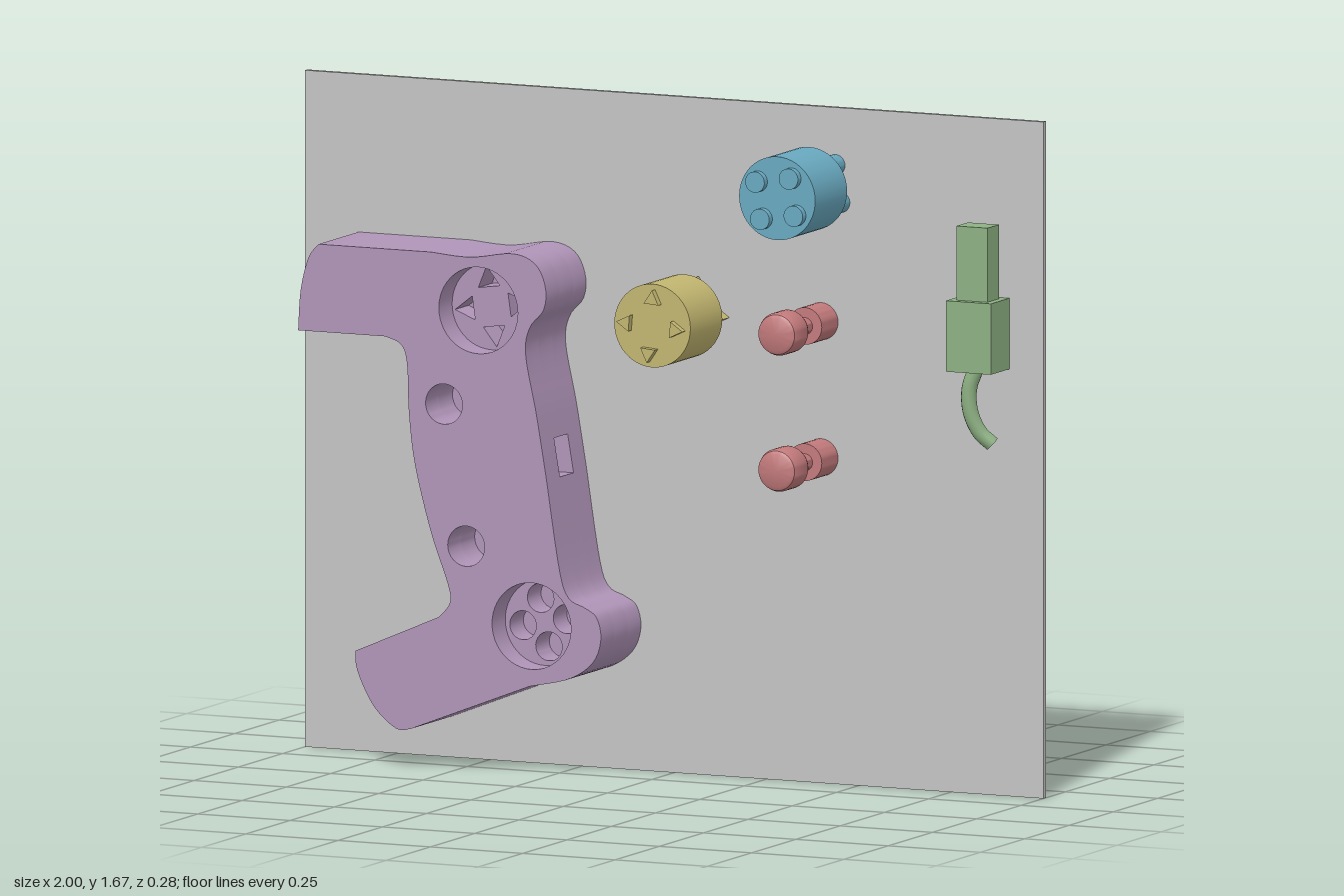
import * as THREE from 'three';
import { toCreasedNormals } from 'three/addons/utils/BufferGeometryUtils.js';

const mat = (name, color) => new THREE.MeshStandardMaterial({ name, color });

// Regular polygon ring: triangle or near-circle
function ring(cx, cy, r, n, rot = 0) {
  const pts = [];
  for (let i = 0; i < n; i++) {
    const a = rot + (i / n) * Math.PI * 2;
    pts.push(new THREE.Vector2(cx + r * Math.cos(a), cy + r * Math.sin(a)));
  }
  return pts;
}

// Four rings arranged around a centre, triangles pointing outwards
function fourRings(cx, cy, dist, r, n, rot) {
  return [0, 1, 2, 3].map((i) => {
    const a = rot + (i * Math.PI) / 2;
    return ring(cx + dist * Math.cos(a), cy + dist * Math.sin(a), r, n, a);
  });
}

function extrude(shape, z0, z1, material, name) {
  const g = new THREE.ExtrudeGeometry(shape, { depth: z1 - z0, bevelEnabled: false, curveSegments: 4 });
  g.translate(0, 0, z0);
  const m = new THREE.Mesh(toCreasedNormals(g, 0.5), material);
  m.name = name;
  return m;
}

// Outline of the grip body, optionally with the plug slot cut into its right edge
function bodyShape(slot, holes) {
  const s = new THREE.Shape();
  const spline = (...p) => s.splineThru(p.map(([x, y]) => new THREE.Vector2(x, y)));
  s.moveTo(-0.855, 1.28);
  spline([-0.882, 1.245], [-0.903, 1.165], [-0.91, 1.064]);
  s.lineTo(-0.675, 1.064);
  spline([-0.632, 1.047], [-0.615, 1.0], [-0.61, 0.88], [-0.593, 0.75], [-0.55, 0.588],
    [-0.505, 0.465], [-0.499, 0.417], [-0.53, 0.38]);
  s.lineTo(-0.754, 0.283);
  spline([-0.75, 0.235], [-0.706, 0.15], [-0.645, 0.098], [-0.604, 0.1]);
  s.lineTo(-0.283, 0.225);
  spline([-0.176, 0.25], [-0.112, 0.294], [-0.09, 0.353], [-0.102, 0.406], [-0.134, 0.428],
    [-0.178, 0.45], [-0.203, 0.52], [-0.237, 0.735]);
  if (slot) {
    s.lineTo(-0.42, 0.735);
    s.lineTo(-0.42, 0.83);
  }
  s.lineTo(-0.253, 0.83);
  spline([-0.267, 0.909], [-0.294, 1.043], [-0.283, 1.11], [-0.246, 1.155], [-0.24, 1.21],
    [-0.267, 1.267], [-0.33, 1.29], [-0.444, 1.274], [-0.55, 1.28]);
  s.closePath();
  s.holes = holes.map((p) => new THREE.Path(p));
  return s;
}

export function createModel() {
  const grey = mat('panelGrey', 0xc4c4c4);
  const purple = mat('bodyPurple', 0xb094b8);
  const blue = mat('dialBlue', 0x69a9c0);
  const yellow = mat('dialYellow', 0xc2b670);
  const red = mat('pinRed', 0xc37a7c);
  const green = mat('plugGreen', 0x8db183);
  const model = new THREE.Group();
  model.name = 'partsBoard';
  const BACK = -0.126;

  // Backing panel
  const panel = new THREE.Mesh(new THREE.BoxGeometry(2, 1.67, 0.014), grey);
  panel.position.set(0, 0.835, -0.133);
  panel.name = 'backPanel';
  model.add(panel);

  // Grip body in three layers: solid back, socket layer with slot, front with recesses
  const body = new THREE.Group();
  body.name = 'gripBody';
  const pinHoles = [ring(-0.515, 0.907, 0.05, 32), ring(-0.455, 0.56, 0.05, 32)];
  const sockets = [
    ...fourRings(-0.422, 1.144, 0.066, 0.034, 3, 0.14),
    ...fourRings(-0.278, 0.374, 0.06, 0.036, 24, 0.19),
  ];
  const recesses = [ring(-0.422, 1.144, 0.107, 48), ring(-0.278, 0.374, 0.107, 48)];
  body.add(
    extrude(bodyShape(false, []), BACK, -0.052, purple, 'bodyBack'),
    extrude(bodyShape(true, [...pinHoles, ...sockets]), -0.052, 0.025, purple, 'bodySocketLayer'),
    extrude(bodyShape(false, [...pinHoles, ...recesses]), 0.025, 0.1, purple, 'bodyFront'),
  );
  model.add(body);

  // Round dials with four prongs running through them
  function dial(name, x, y, material, dist, r, n, rot) {
    const g = new THREE.Group();
    g.name = name;
    const drum = new THREE.Mesh(new THREE.CylinderGeometry(0.103, 0.103, 0.18, 48), material);
    drum.rotation.x = Math.PI / 2;
    drum.position.set(x, y, 0.032);
    drum.name = 'drum';
    g.add(drum);
    for (const p of fourRings(x, y, dist, r, n, rot)) {
      g.add(extrude(new THREE.Shape(p), BACK, 0.14, material, 'prong'));
    }
    model.add(g);
  }
  dial('triangleDial', 0.06, 1.14, yellow, 0.067, 0.023, 3, -0.08);
  dial('roundProngDial', 0.398, 1.476, blue, 0.065, 0.026, 24, 0.93);

  // Push pins: rounded knob, thin neck, rear plug
  const profile = [[0, BACK], [0.046, BACK], [0.046, -0.034], [0.021, -0.034], [0.021, 0.044], [0.04, 0.044],
    [0.049, 0.048], [0.053, 0.058], [0.053, 0.115], [0.049, 0.126], [0.04, 0.131], [0, 0.131]];
  const pinGeo = toCreasedNormals(
    new THREE.LatheGeometry(profile.map(([r, z]) => new THREE.Vector2(r, z)), 36), 0.7);
  pinGeo.rotateX(Math.PI / 2);
  [1.14, 0.804].forEach((y, i) => {
    const pin = new THREE.Mesh(pinGeo, red);
    pin.position.set(0.398, y, 0);
    pin.name = i ? 'lowerPin' : 'upperPin';
    model.add(pin);
  });

  // Cable plug: tongue, housing and curved cable
  const plug = new THREE.Group();
  plug.name = 'cablePlug';
  const box = (name, w, h, d, y) => {
    const m = new THREE.Mesh(new THREE.BoxGeometry(w, h, d), green);
    m.position.set(0.848, y, -0.072);
    m.name = name;
    plug.add(m);
  };
  box('housing', 0.122, 0.175, 0.106, 1.142);
  box('tongue', 0.084, 0.185, 0.066, 1.32);
  const path = new THREE.CatmullRomCurve3([
    new THREE.Vector3(0.85, 1.07, -0.07), new THREE.Vector3(0.829, 1.01, -0.065),
    new THREE.Vector3(0.831, 0.95, -0.068), new THREE.Vector3(0.851, 0.9, -0.079),
    new THREE.Vector3(0.878, 0.872, -0.092),
  ]);
  const cable = new THREE.Mesh(new THREE.TubeGeometry(path, 24, 0.019, 16), green);
  cable.name = 'cable';
  plug.add(cable);
  // Flat cap closing the cable end
  const cap = new THREE.Mesh(new THREE.CircleGeometry(0.019, 16), green);
  cap.position.copy(path.getPoint(1));
  cap.quaternion.setFromUnitVectors(new THREE.Vector3(0, 0, 1), path.getTangent(1));
  cap.name = 'cableEnd';
  plug.add(cap);
  model.add(plug);

  return model;
}
